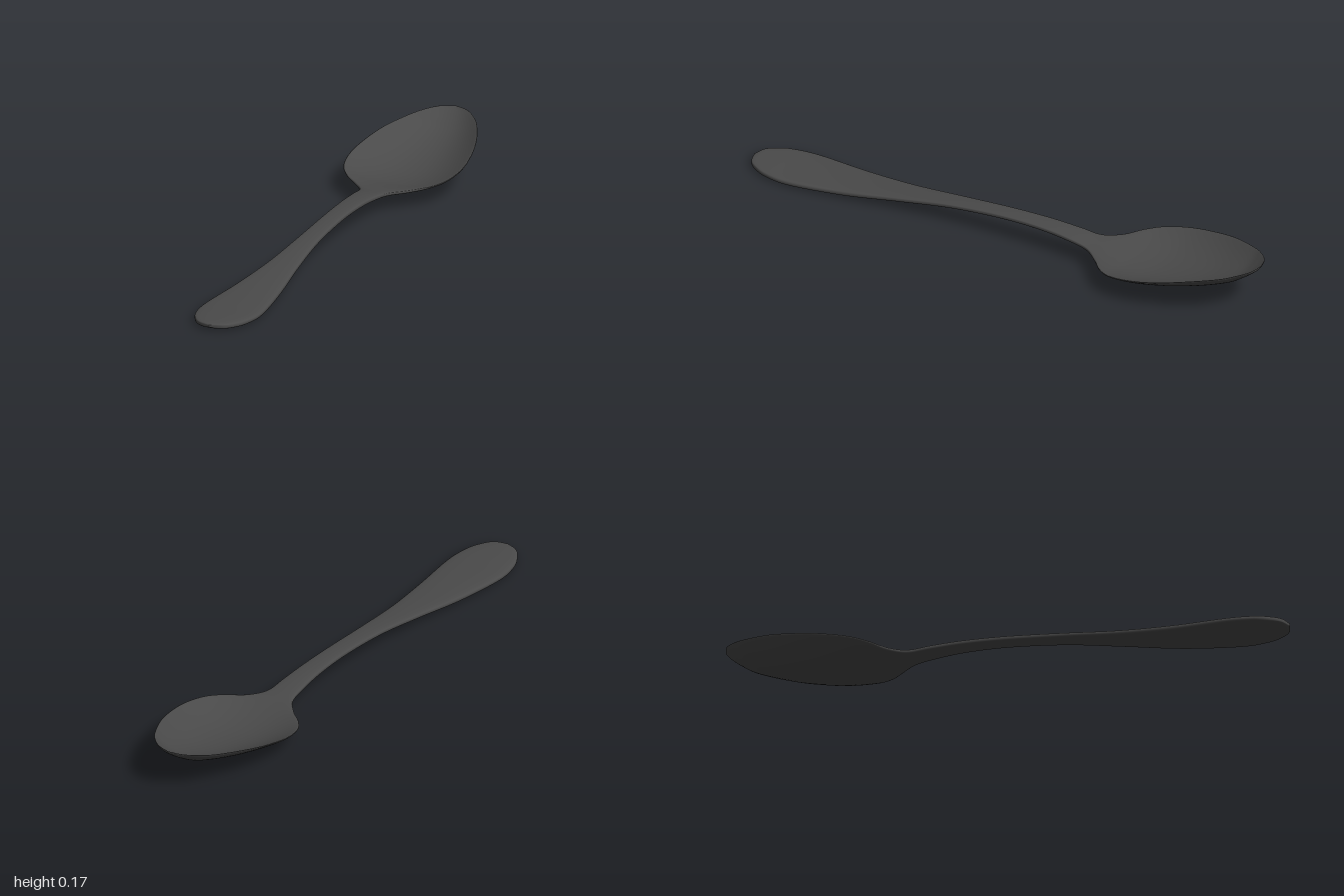
import * as THREE from 'three';

// Stations from handle end to bowl tip:
// [z, half width, edge height, centre height, half thickness]
const STATIONS = [
  [1.0, 0, 0.02, 0.02, 0.004],
  [0.985, 0.045, 0.019, 0.019, 0.01],
  [0.955, 0.073, 0.018, 0.018, 0.012],
  [0.9, 0.098, 0.017, 0.017, 0.013],
  [0.8, 0.108, 0.017, 0.017, 0.013],
  [0.6, 0.084, 0.025, 0.025, 0.013],
  [0.4, 0.056, 0.045, 0.045, 0.011],
  [0.2, 0.039, 0.069, 0.069, 0.01],
  [0.0, 0.035, 0.084, 0.084, 0.01],
  [-0.15, 0.038, 0.086, 0.086, 0.01],
  [-0.26, 0.044, 0.079, 0.079, 0.01],
  [-0.34, 0.054, 0.069, 0.068, 0.009],
  [-0.4, 0.1, 0.066, 0.06, 0.008],
  [-0.45, 0.155, 0.073, 0.052, 0.007],
  [-0.51, 0.194, 0.083, 0.043, 0.006],
  [-0.6, 0.21, 0.098, 0.039, 0.006],
  [-0.7, 0.2, 0.116, 0.049, 0.006],
  [-0.8, 0.173, 0.135, 0.069, 0.006],
  [-0.9, 0.127, 0.15, 0.101, 0.006],
  [-0.95, 0.09, 0.159, 0.128, 0.005],
  [-0.985, 0.049, 0.165, 0.153, 0.004],
  [-1.0, 0, 0.168, 0.167, 0.002],
];
const STEPS = 168, SIDES = 40;

const signedPow = (v, p) => Math.sign(v) * Math.abs(v) ** p;

function spline(pick) {
  const points = STATIONS.map((s) => new THREE.Vector3(...pick(s)));
  return new THREE.CatmullRomCurve3(points, false, 'catmullrom', 0.5);
}

// Loft of rounded flat sections that sag in the middle to form the bowl
function spoonGeometry() {
  const outline = spline(([z, w, edge]) => [w, edge, z]);
  const body = spline(([z, , , centre, h]) => [h, centre, z]);
  const positions = [], indices = [];
  for (let i = 0; i <= STEPS; i++) {
    const o = outline.getPoint(i / STEPS), b = body.getPoint(i / STEPS);
    for (let j = 0; j < SIDES; j++) {
      const angle = (j / SIDES) * Math.PI * 2;
      const s = Math.cos(angle);
      const middle = o.y + (b.y - o.y) * (1 - Math.abs(s) ** 2.2);
      const y = middle + b.x * signedPow(Math.sin(angle), 0.45);
      positions.push(Math.max(o.x, 0) * s, y, o.z);
      if (i < STEPS) {
        const a = i * SIDES + j, n = i * SIDES + ((j + 1) % SIDES);
        indices.push(a, a + SIDES, n, n, a + SIDES, n + SIDES);
      }
    }
  }
  const geometry = new THREE.BufferGeometry();
  geometry.setAttribute('position', new THREE.Float32BufferAttribute(positions, 3));
  geometry.setIndex(indices);
  geometry.computeVertexNormals();
  return geometry;
}

export function createModel() {
  const group = new THREE.Group();
  group.name = 'spoon';
  const material = new THREE.MeshStandardMaterial({ color: 0x4a4a4a });
  const spoon = new THREE.Mesh(spoonGeometry(), material);
  spoon.name = 'handleAndBowl';
  group.add(spoon);
  return group;
}
